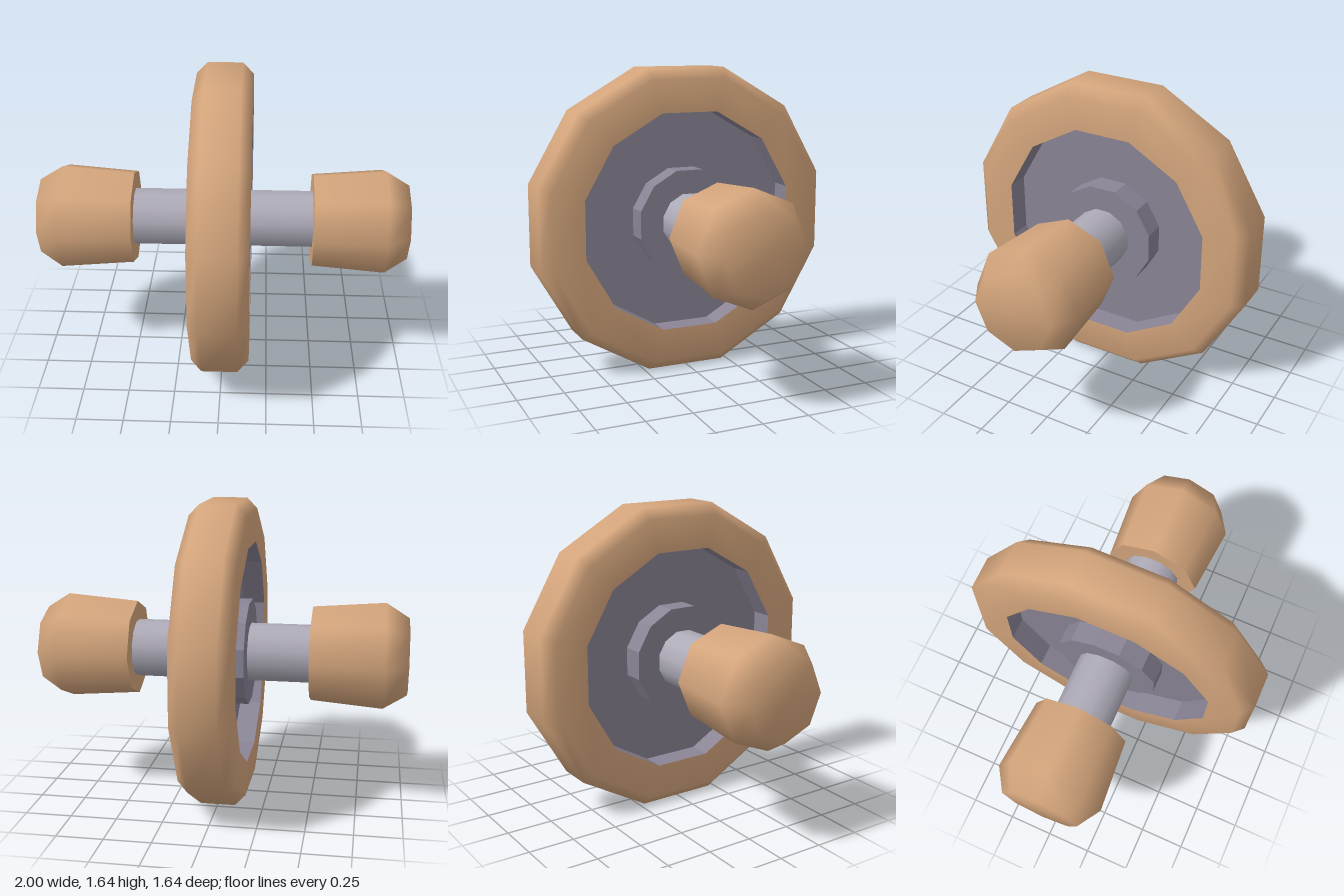
import * as THREE from 'three';
import { mergeGeometries } from 'three/addons/utils/BufferGeometryUtils.js';

const CENTRE_Y = 0.82;

const wood = new THREE.MeshStandardMaterial({ color: 0xd4a57c });
wood.name = 'tan';
const hubGrey = new THREE.MeshStandardMaterial({ color: 0x8a8495 });
hubGrey.name = 'dark lavender grey';
const axleGrey = new THREE.MeshStandardMaterial({ color: 0xaeabb8 });
axleGrey.name = 'light lavender grey';

// Turns [radius, x] profiles round the x axis; each profile is smooth, with sharp edges between profiles
function turned(profiles, sides, start = 0) {
  const parts = profiles.map((profile) => new THREE.LatheGeometry(
    profile.map(([r, x]) => new THREE.Vector2(r, x)), sides, start));
  return mergeGeometries(parts).rotateZ(-Math.PI / 2);
}

function faceted(geometry) {
  const flat = geometry.toNonIndexed();
  flat.computeVertexNormals();
  return flat;
}

export function createModel() {
  const model = new THREE.Group();
  model.name = 'abRoller';
  const add = (name, geometry, material, turn = 0) => {
    const mesh = new THREE.Mesh(geometry, material);
    mesh.name = name;
    mesh.position.y = CENTRE_Y;
    mesh.rotation.y = turn;
    model.add(mesh);
  };
  const half = Math.PI / 12; // puts a flat side on the ground

  // Bevelled twelve-sided tyre
  add('tyre', turned([[
    [0.608, -0.152], [0.79, -0.152], [0.849, -0.095],
    [0.849, 0.095], [0.79, 0.152], [0.608, 0.152],
  ]], 12, half), wood);

  // Axle running into both grips
  add('axle', turned([[[0.158, -0.52], [0.158, 0.52]]], 12, half), axleGrey);

  // Recessed disc with a raised boss
  const hub = faceted(turned([[
    [0.608, 0.152], [0.608, 0.03], [0.29, 0.03], [0.29, 0.148], [0, 0.148],
  ]], 12, half));

  // Eight-sided grip, wider towards its rounded end
  const grip = turned([
    [[0, 0.485], [0.263, 0.485]],
    [[0.263, 0.485], [0.295, 0.875], [0.215, 1], [0, 1]],
  ], 8);

  for (const [side, turn] of [['left', 0], ['right', Math.PI]]) {
    add(side + 'Hub', hub, hubGrey, turn);
    add(side + 'Grip', grip, wood, turn);
  }
  return model;
}
